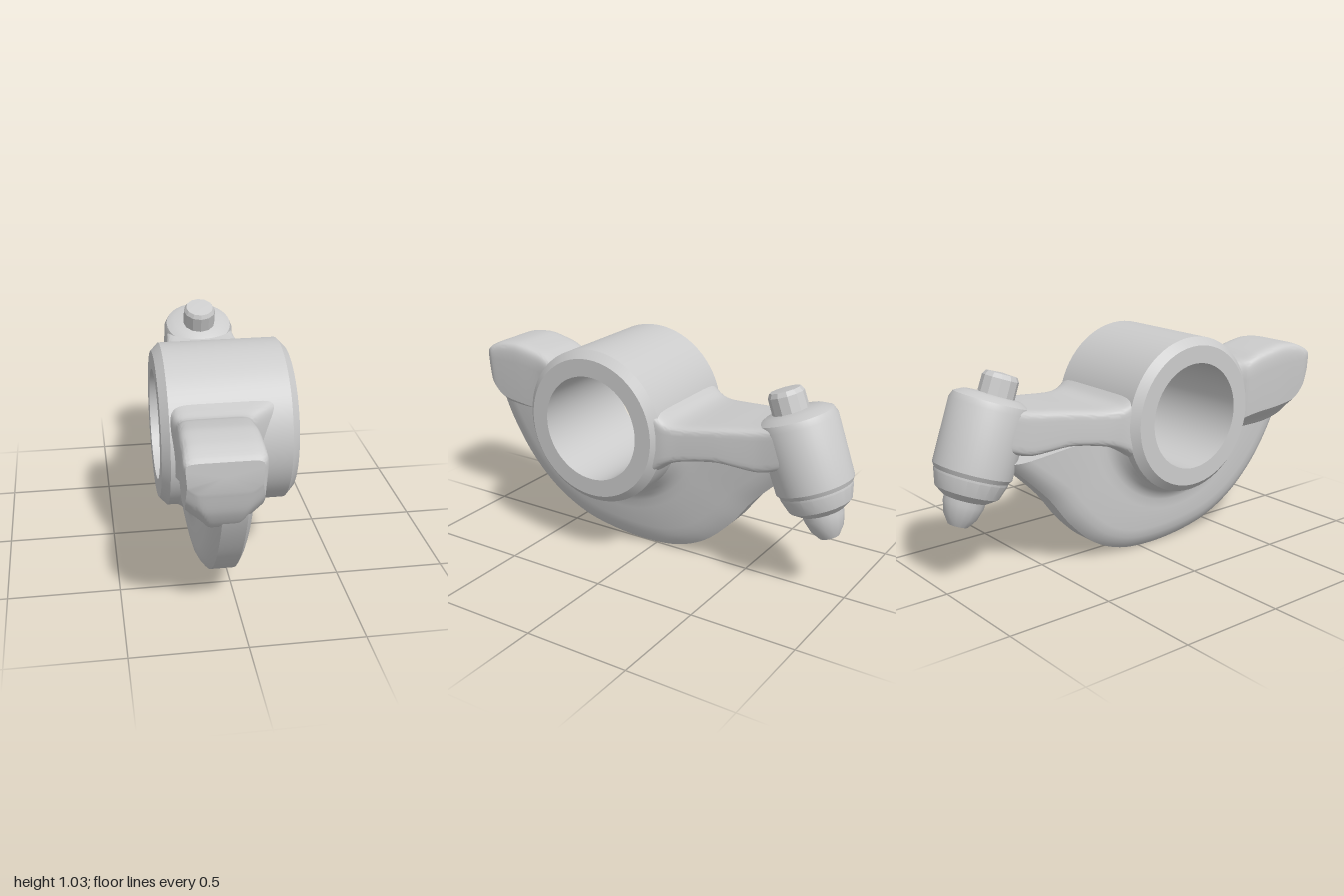
import * as THREE from 'three';
import { toCreasedNormals } from 'three/addons/utils/BufferGeometryUtils.js';

const material = new THREE.MeshStandardMaterial({ color: 0xcccccc });
const HUB = { y: 0.66, z: 0.175, r: 0.368, bore: 0.25 };

function part(name, geometry, crease = 0.6) {
  const mesh = new THREE.Mesh(toCreasedNormals(geometry, crease), material);
  mesh.name = name;
  return mesh;
}

// Skin over closed rings of equal point count, capped at both ends.
function loft(rings) {
  const n = rings[0].length, last = rings.length - 1;
  const points = rings.flat(), index = [];
  for (let i = 0; i < last; i++) {
    for (let j = 0; j < n; j++) {
      const k = (j + 1) % n, a = i * n + j, b = i * n + k;
      index.push(a, b, b + n, a, b + n, a + n);
    }
  }
  const center = ring => ring.reduce((s, p) => s.add(p), new THREE.Vector3()).divideScalar(n);
  const first = points.push(center(rings[0])) - 1;
  const end = points.push(center(rings[last])) - 1;
  for (let j = 0; j < n; j++) {
    const k = (j + 1) % n;
    index.push(first, k, j, end, last * n + j, last * n + k);
  }
  const geometry = new THREE.BufferGeometry().setFromPoints(points);
  geometry.setIndex(index);
  return geometry;
}

// Rounded-rectangle section at z; 'pinch' narrows its lower part into the web.
function section([z, x0, x1, y0, y1, pinch = 1]) {
  const ring = [], n = 48, power = 0.24;
  for (let j = 0; j < n; j++) {
    const a = (j + 0.5) / n * Math.PI * 2, c = Math.cos(a), s = Math.sin(a);
    const u = Math.sign(c) * Math.abs(c) ** power, v = Math.sign(s) * Math.abs(s) ** power;
    const k = THREE.MathUtils.lerp(pinch, 1, THREE.MathUtils.smoothstep(v, -1, -0.35));
    const mid = (x0 + x1) / 2;
    ring.push(new THREE.Vector3(mid + u * k * (x1 - x0) / 2, (y0 + y1) / 2 + v * (y1 - y0) / 2, z));
  }
  return ring;
}

// Loft through key sections, smoothed in between.
function smoothArm(keys, steps) {
  const rings = [], keyRings = keys.map(section);
  const curves = keyRings[0].map((_, j) => new THREE.CatmullRomCurve3(keyRings.map(r => r[j]), false, 'catmullrom', 0.4));
  for (let i = 0; i <= steps; i++) rings.push(curves.map(c => c.getPoint(i / steps)));
  return loft(rings);
}

// Curved web under the hub: small fillet at the hub, tapered flanks, rounded rim.
function webGeometry() {
  const rim = new THREE.CatmullRomCurve3([
    [0.975, 0.72], [0.95, 0.6], [0.88, 0.45], [0.77, 0.29], [0.62, 0.15], [0.44, 0.055],
    [0.25, 0.012], [0.05, 0], [-0.12, 0.02], [-0.27, 0.085], [-0.41, 0.21], [-0.52, 0.35],
    [-0.62, 0.45], [-0.74, 0.56],
  ].map(([z, y]) => new THREE.Vector3(0, y, z)));
  const hub = new THREE.Vector3(0, HUB.y, HUB.z);
  const rings = rim.getPoints(78).map(p => {
    const dir = p.clone().sub(hub), R = dir.length();
    dir.normalize();
    const at = (r, x) => hub.clone().addScaledVector(dir, r).setX(x);
    const radii = [0.33, 0.362, 0.375, 0.39, 0.41, 0.435, 0.48, R - 0.1, R - 0.06, R - 0.03, R - 0.01, R];
    const left = [], right = [];
    for (const r of radii) {
      const t = Math.max(0, (r - 0.36) / (R - 0.36));
      const fillet = 0.07 * Math.min(1, Math.max(0, 1 - (r - 0.36) / 0.075)) ** 2;
      const edge = Math.max(0, 1 - (R - r) / 0.1) ** 2.2;
      left.push(at(r, 0.068 - 0.045 * t ** 1.3 - 0.025 * edge + fillet));
      right.push(at(r, -0.162 + 0.012 * t + 0.045 * edge - fillet));
    }
    return [...left, ...right.reverse()];
  });
  return loft(rings);
}

function lathe(profile, segments) {
  return new THREE.LatheGeometry(profile.map(p => new THREE.Vector2(...p)), segments);
}

export function createModel() {
  const model = new THREE.Group();
  model.name = 'rockerArm';

  // Chamfered pivot sleeve with open bore
  const { r, bore } = HUB;
  const sleeve = part('pivotSleeve', lathe([
    [bore, -0.3], [r - 0.036, -0.3], [r, -0.265], [r, 0.265],
    [r - 0.036, 0.3], [bore, 0.3], [bore, -0.3],
  ], 64), 0.4);
  sleeve.rotation.z = Math.PI / 2;
  sleeve.position.set(0, HUB.y, HUB.z);
  model.add(sleeve);

  model.add(part('web', webGeometry()));

  // Front arm ending in the contact pad: z, x range, y range, pinch
  model.add(part('contactPad', smoothArm([
    [0.45, -0.27, 0.25, 0.46, 0.88, 0.8],
    [0.52, -0.26, 0.16, 0.47, 0.865, 0.65],
    [0.58, -0.245, 0.09, 0.48, 0.855, 0.5],
    [0.66, -0.255, 0.072, 0.49, 0.885, 0.45],
    [0.8, -0.265, 0.072, 0.5, 0.912, 0.45],
    [0.91, -0.265, 0.072, 0.53, 0.903, 0.45],
    [0.97, -0.265, 0.07, 0.62, 0.88, 0.6],
    [1.0, -0.255, 0.05, 0.73, 0.86, 0.8],
  ], 42)));

  // Tapering rear arm running into the boss
  model.add(part('rearArm', smoothArm([
    [-0.8, -0.15, 0.19, 0.64, 0.825],
    [-0.64, -0.16, 0.2, 0.585, 0.79],
    [-0.45, -0.195, 0.235, 0.6, 0.768],
    [-0.28, -0.235, 0.265, 0.575, 0.75],
    [-0.2, -0.265, 0.28, 0.54, 0.765],
    [-0.11, -0.28, 0.285, 0.46, 0.85],
  ], 36)));

  // Tilted boss carrying the adjusting screw
  const adjuster = new THREE.Group();
  adjuster.name = 'adjuster';
  adjuster.add(part('boss', lathe([
    [0, -0.12], [0.165, -0.12], [0.177, -0.1], [0.18, 0.185], [0.168, 0.215], [0.13, 0.235], [0, 0.245],
  ], 40), 0.5));
  adjuster.add(part('collar', lathe([
    [0, -0.225], [0.1, -0.225], [0.143, -0.195], [0.165, -0.13], [0.165, -0.11],
  ], 20), 0.4));
  adjuster.add(part('ballTip', lathe([
    [0, -0.352], [0.045, -0.347], [0.075, -0.305], [0.092, -0.25], [0.095, -0.21],
  ], 16), 0.5));
  const screw = part('screwHead', lathe([
    [0.084, 0.15], [0.082, 0.315], [0.07, 0.335], [0, 0.34],
  ], 12), 0.4);
  screw.position.z = 0.018;
  adjuster.add(screw);
  adjuster.position.set(0.02, 0.62, -0.8);
  adjuster.rotation.x = 0.35;
  model.add(adjuster);

  return model;
}
